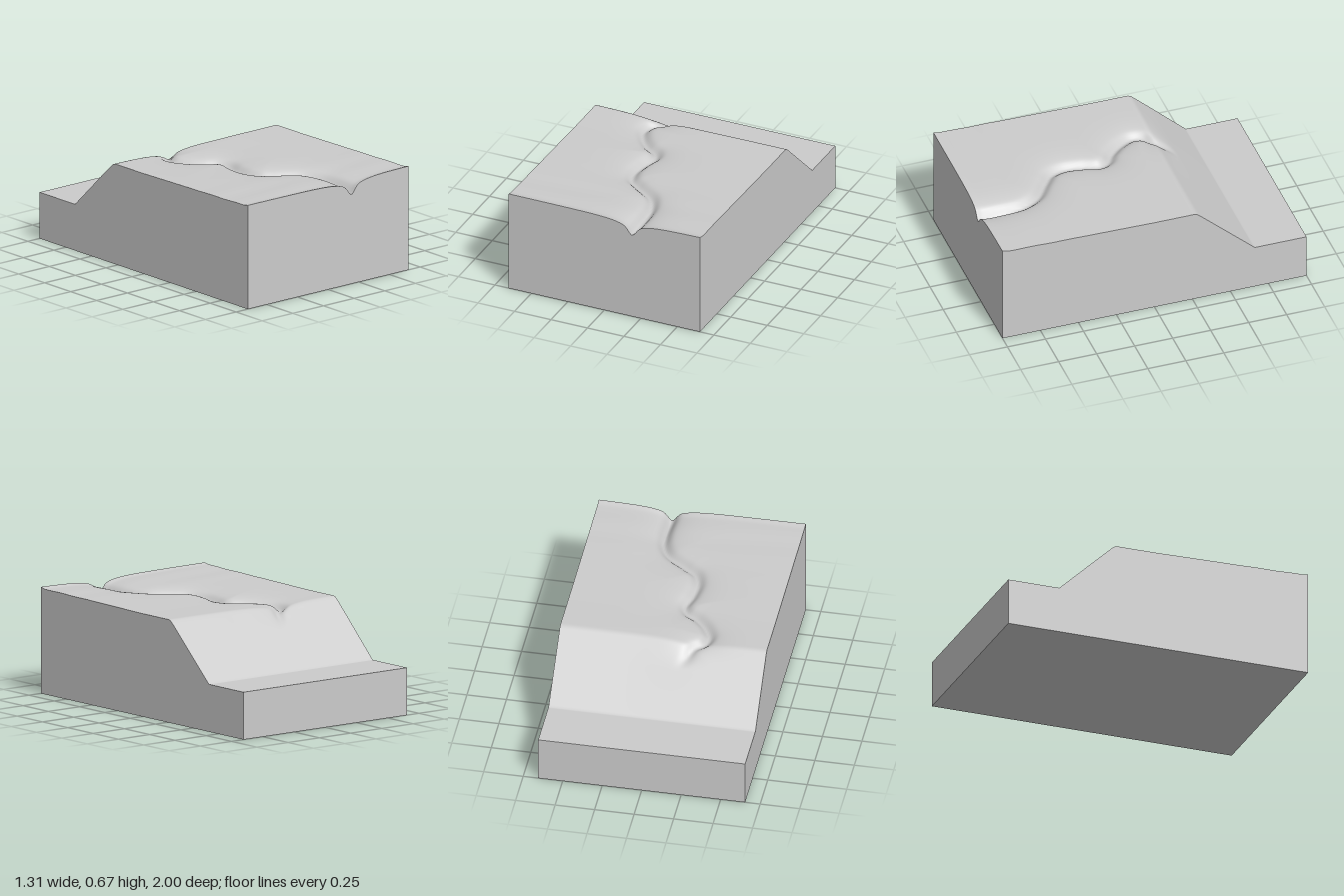
import * as THREE from 'three';

const HALF_W = 0.655, NX = 100, NZ = 200;
const smooth = THREE.MathUtils.smoothstep;

// Winding stream centreline, as [x, z]
const stream = new THREE.CatmullRomCurve3([
  [0.19, 1.15], [0.19, 1], [0.195, 0.8], [0.18, 0.69], [0.13, 0.59], [0, 0.49], [-0.07, 0.43], [-0.1, 0.34],
  [-0.09, 0.22], [-0.065, 0.11], [-0.09, 0.05], [-0.16, 0], [-0.23, -0.08], [-0.27, -0.17],
  [-0.255, -0.24], [-0.19, -0.3], [-0.165, -0.36], [-0.13, -0.43],
].map(([x, z]) => new THREE.Vector3(x, 0, z))).getPoints(360);

function streamDistance(x, z) {
  let best = Infinity;
  for (const p of stream) best = Math.min(best, (p.x - x) ** 2 + (p.z - z) ** 2);
  return Math.sqrt(best);
}

// Height of the land: plateau, carved channel, bank and low plain
function height(x, z) {
  const d = streamDistance(x, z);
  const fade = smooth(z, -0.43, -0.27);
  const strength = fade * (0.65 + 0.35 * smooth(z, 0.5, 1));
  const carve = strength * (0.05 * Math.exp(-((d / 0.034) ** 2)) + 0.045 / (1 + (d / 0.095) ** 2));
  const lip = 0.007 * Math.exp(-(((1 - z) / 0.025) ** 2));
  const ripple = 0.0012 * Math.sin(z * 24 + x * 2) * smooth(z, 0.3, 0.8);
  const plateau = 0.652 + 0.016 * Math.max(z, 0) + lip + ripple;
  const bank = 0.3 + (z + 0.66) * (0.95 - 0.03 * smooth(x, -0.3, 0.2));
  // Slightly rounded brow
  const k = 0.018, h = Math.max(k - Math.abs(plateau - bank), 0) / k;
  const land = Math.min(plateau, bank) - h * h * k * 0.25;
  return Math.max(0.3, land - carve);
}

export function createModel() {
  const group = new THREE.Group();
  const material = new THREE.MeshStandardMaterial({ color: 0xcccccc });
  const add = (geometry, name) => {
    const mesh = new THREE.Mesh(geometry, material);
    mesh.name = name;
    group.add(mesh);
  };

  // Land surface
  const land = new THREE.PlaneGeometry(2 * HALF_W, 2, NX, NZ).rotateX(-Math.PI / 2);
  const pos = land.attributes.position;
  for (let i = 0; i < pos.count; i++) pos.setY(i, height(pos.getX(i), pos.getZ(i)));
  land.computeVertexNormals();
  add(land, 'landSurface');

  // Cut walls drop from each edge of the land to the ground
  const wall = (name, count, indexAt) => {
    const points = [], index = [];
    for (let i = 0; i <= count; i++) {
      const v = indexAt(i);
      points.push(pos.getX(v), pos.getY(v), pos.getZ(v), pos.getX(v), 0, pos.getZ(v));
      if (i < count) {
        const a = 2 * i;
        index.push(a, a + 1, a + 2, a + 2, a + 1, a + 3);
      }
    }
    const geometry = new THREE.BufferGeometry();
    geometry.setAttribute('position', new THREE.Float32BufferAttribute(points, 3));
    geometry.setIndex(index);
    geometry.computeVertexNormals();
    add(geometry, name);
  };
  const row = NX + 1;
  wall('frontWall', NX, (i) => NZ * row + i);
  wall('backWall', NX, (i) => NX - i);
  wall('leftWall', NZ, (i) => (NZ - i) * row + NX);
  wall('rightWall', NZ, (i) => i * row);

  // Underside
  add(new THREE.PlaneGeometry(2 * HALF_W, 2).rotateX(Math.PI / 2), 'base');
  return group;
}
